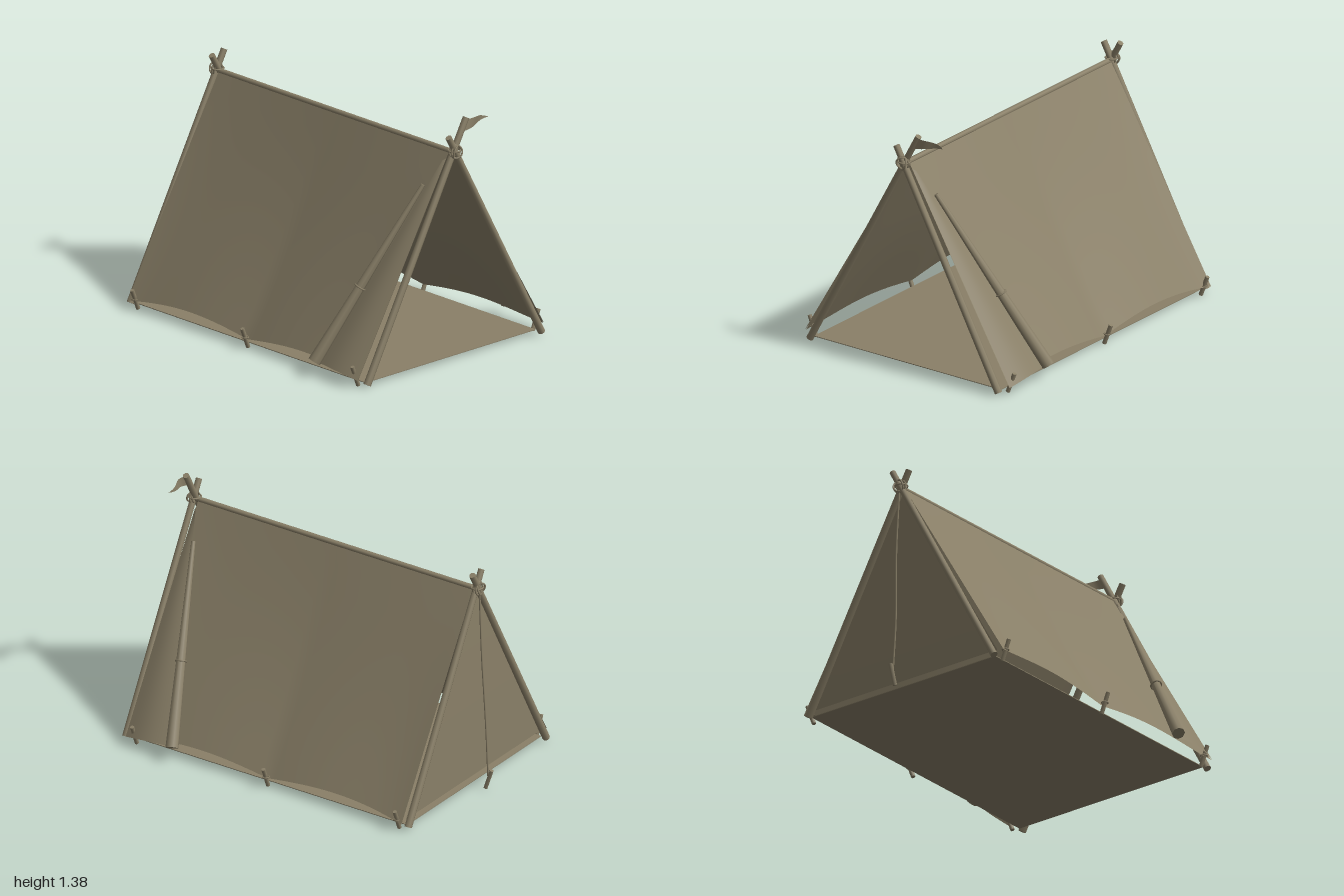
import * as THREE from 'three';

const canvas = new THREE.MeshStandardMaterial({ color: 0x8a8068, side: THREE.DoubleSide });
canvas.name = 'khaki';

const V = (x, y, z) => new THREE.Vector3(x, y, z);

function add(parent, geometry, name) {
  const mesh = new THREE.Mesh(geometry, canvas);
  mesh.name = name;
  parent.add(mesh);
  return mesh;
}

// Tapered rod from a to b
function rod(parent, name, a, b, r0, r1 = r0, sides = 8) {
  const dir = b.clone().sub(a);
  const mesh = add(parent, new THREE.CylinderGeometry(r1, r0, dir.length(), sides), name);
  mesh.position.copy(a).addScaledVector(dir, 0.5);
  mesh.quaternion.setFromUnitVectors(V(0, 1, 0), dir.normalize());
  return mesh;
}

// Cloth grid: f(u, v) gives the point, u and v run from 0 to 1
function sheet(parent, name, f, nu, nv) {
  const geometry = new THREE.PlaneGeometry(1, 1, nu, nv);
  const pos = geometry.attributes.position;
  for (let i = 0; i < pos.count; i++) {
    const p = f(pos.getX(i) + 0.5, 0.5 - pos.getY(i));
    pos.setXYZ(i, p.x, p.y, p.z);
  }
  geometry.computeVertexNormals();
  return add(parent, geometry, name);
}

// Crossed poles with a rope lashing
function poleFrame(parent, name, z, outward, tallTop) {
  const frame = new THREE.Group();
  frame.name = name;
  parent.add(frame);
  const tops = [[-1, tallTop], [1, 1.29]];
  for (const [side, top] of tops) {
    const zo = z + side * 0.006;
    rod(frame, 'tentPole', V(side * 0.64, 0.02, zo), V(-side * (top - 1.2) * 0.542, top, zo), 0.021, 0.018);
  }
  for (const tilt of [-0.5, 0.1, 0.5]) {
    const ring = add(frame, new THREE.TorusGeometry(0.036, 0.005, 6, 16), 'lashing');
    ring.position.set(0, 1.2, z + outward * 0.012);
    ring.rotation.set(tilt * 0.6, tilt, 0);
  }
  // Wrapped cord around the crossing
  const cord = add(frame, new THREE.TorusGeometry(0.034, 0.005, 6, 16), 'lashing');
  cord.position.set(0, 1.205, z);
  cord.rotation.x = Math.PI / 2;
}

// Roof canvas, drooping between pegs and drawn in along the middle
function roofPoint(side, u, v) {
  const s = 2 * v - 1;
  const eave = 0.645 + 0.033 * Math.pow(Math.abs(s), 5);
  const hem = 0.05 + 0.04 * Math.abs(Math.sin(Math.PI * s));
  const sag = 0.015 * Math.sin(Math.PI * u) * (1 - s * s);
  return V(side * (eave * u + 0.006 - sag * 0.87), 1.2 + (hem - 1.2) * u - sag * 0.5, 0.03 + 0.9 * s);
}

export function createModel() {
  const tent = new THREE.Group();
  tent.name = 'tent';

  poleFrame(tent, 'frontFrame', 0.96, 1, 1.37);
  poleFrame(tent, 'backFrame', -0.89, -1, 1.3);
  rod(tent, 'ridgePole', V(0, 1.193, -0.91), V(0, 1.193, 0.975), 0.016);

  // Ground sheet
  const floor = add(tent, new THREE.BoxGeometry(1.26, 0.004, 1.8), 'groundSheet');
  floor.position.set(0, 0.025, 0.03);

  // Back wall
  sheet(tent, 'backWall', (u, v) =>
    V((2 * u - 1) * 0.64 * v, 1.19 - 1.13 * v, -0.867 - 0.004 * Math.sin(Math.PI * v)), 10, 10);

  for (const side of [-1, 1]) {
    sheet(tent, 'roofCanvas', (u, v) => roofPoint(side, u, v), 10, 40);

    // Door flap folded back over the roof
    const frontEdge = [V(side * 0.035, 1.16, 0.932), V(side * 0.69, 0.05, 0.932)];
    const rollEdge = [V(side * 0.05, 1.15, 0.92), V(side * 0.685, 0.075, 0.63)];
    sheet(tent, 'doorFlap', (u, v) => {
      const a = frontEdge[0].clone().lerp(frontEdge[1], v);
      const b = rollEdge[0].clone().lerp(rollEdge[1], v);
      const p = a.lerp(b, u);
      const bulge = 0.022 * Math.sin(Math.PI * u) * v;
      return p.add(V(side * bulge * 0.87, bulge * 0.5, 0));
    }, 10, 14);

    // Rolled flap edge with its tie
    const low = V(side * 0.71, 0.085, 0.615), high = V(side * 0.145, 1.02, 0.868);
    rod(tent, 'rolledFlap', low, high, 0.036, 0.012);
    const mid = low.clone().lerp(high, 0.42);
    const tie = add(tent, new THREE.TorusGeometry(0.029, 0.005, 6, 14), 'flapTie');
    tie.position.copy(mid);
    tie.quaternion.setFromUnitVectors(V(0, 0, 1), high.clone().sub(low).normalize());

    // Side pegs with rope loops
    for (const z of [0.89, 0.03, -0.83]) {
      rod(tent, 'peg', V(side * 0.645, 0.005, z), V(side * 0.69, 0.12, z), 0.012, 0.012, 6);
      const loop = add(tent, new THREE.TorusGeometry(0.018, 0.004, 5, 12), 'pegLoop');
      loop.position.set(side * 0.667, 0.065, z);
      loop.rotation.x = Math.PI / 2;
    }
  }

  // Back guy rope and peg
  const rope = new THREE.CatmullRomCurve3([
    V(0, 1.19, -0.905), V(0.006, 0.8, -0.925), V(-0.005, 0.4, -0.943), V(0, 0.08, -0.962),
  ]);
  add(tent, new THREE.TubeGeometry(rope, 24, 0.005, 6), 'guyRope');
  rod(tent, 'backPeg', V(0, 0.005, -0.945), V(0, 0.12, -0.985), 0.012, 0.012, 6);

  // Pennant on the taller front pole
  sheet(tent, 'pennant', (u, v) => {
    const top = 1.36 - 0.025 * u * u + 0.006 * Math.sin(Math.PI * u);
    const height = 0.065 * (1 - u) + 0.012 * Math.sin(Math.PI * u);
    return V(0.085 + 0.172 * u - 0.03 * v * (1 - u), top - height * v, 0.958 + 0.012 * Math.sin(u * 6));
  }, 12, 3);

  return tent;
}
